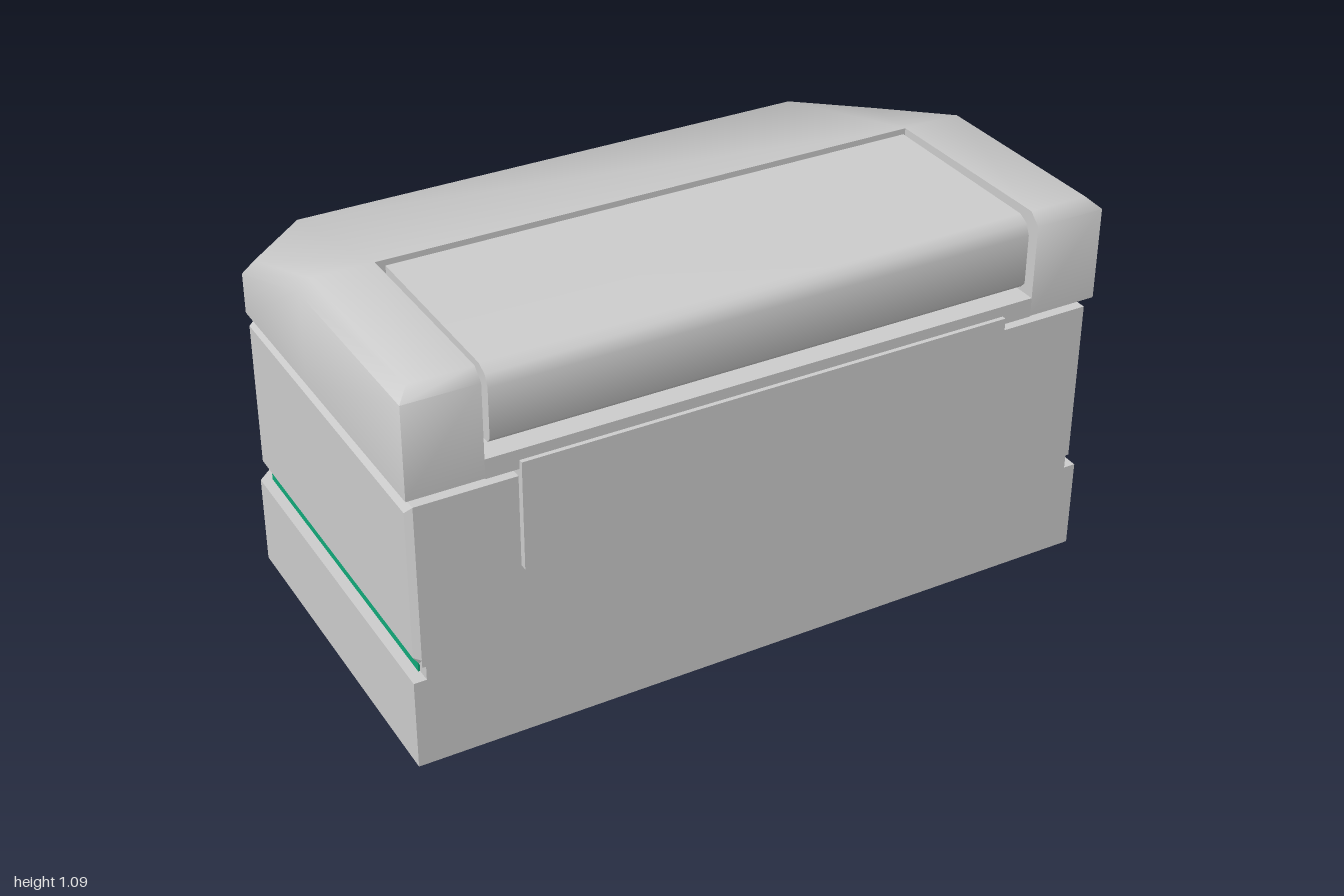
import * as THREE from 'three';
import { toCreasedNormals } from 'three/addons/utils/BufferGeometryUtils.js';

const grey = new THREE.MeshStandardMaterial({ color: 0xcccccc });
const green = new THREE.MeshStandardMaterial({ color: 0x11a878 });

// Mirror the right half of an outline (front to back) into a closed loop
const mirrored = (half) => [...half, ...half.map(([x, ...r]) => [-x, ...r]).reverse()];

// Footprint with cut back corners, inset by d; corner limits the front width
function outline(d, corner = 1, front = 0.6) {
  const w = 1 - d, back = -0.618 + d;
  return mirrored([
    [Math.min(w, corner), front], [w, front - 0.02], [w, -0.42 + 0.4 * d],
    [0.79 - 0.4 * d, back], [0.52, back], [0.38, back],
  ]);
}

// Turn an outline into a ring; the middle of the back edge may sit higher
const ring = (pts, y, yMid = y) =>
  pts.map(([x, z], i) => [x, i === 5 || i === 6 ? yMid : y, z]);

// Skin stacked rings, with end caps
function loft(rings, crease, topFaces) {
  const n = rings[0].length, last = (rings.length - 1) * n, index = [];
  for (let r = 0; r < rings.length - 1; r++) {
    for (let i = 0; i < n; i++) {
      const a = r * n + i, b = r * n + (i + 1) % n;
      index.push(a, b, b + n, a, b + n, a + n);
    }
  }
  const cap = (pts) => THREE.ShapeUtils.triangulateShape(
    pts.map(([x, , z]) => new THREE.Vector2(x, -z)), []);
  for (const [a, b, c] of cap(rings[0])) index.push(a, c, b);
  for (const [a, b, c] of topFaces || cap(rings[rings.length - 1])) {
    index.push(last + a, last + b, last + c);
  }
  const g = new THREE.BufferGeometry();
  g.setAttribute('position', new THREE.Float32BufferAttribute(rings.flat(2), 3));
  g.setIndex(index);
  return toCreasedNormals(g, crease);
}

export function createModel() {
  const model = new THREE.Group();
  const add = (name, geometry, material = grey) => {
    const m = new THREE.Mesh(geometry, material);
    m.name = name;
    model.add(m);
    return m;
  };
  const box = (name, w, h, d, x, y, z) =>
    add(name, new THREE.BoxGeometry(w, h, d)).position.set(x, y, z);

  // Base, stepped up along the middle of the back
  add('base', loft([
    ring(outline(0), 0),
    ring(outline(0), 0.26, 0.45),
    ring(outline(0.06), 0.26, 0.45),
  ], 0.3));

  // Coloured core showing in the groove
  add('grooveCore', loft([
    ring(outline(0.03, 1, 0.56), 0.2),
    ring(outline(0.03, 1, 0.56), 0.6),
  ], 0.3), green);

  // Front strip bridging the groove
  box('frontBridge', 1.93, 0.04, 0.1, 0, 0.28, 0.55);

  // Upper body with bevelled edges
  const inner = outline(0.025, 0.975), outer = outline(0.01, 0.975);
  add('body', loft([
    ring(outline(0.07, 0.975), 0.30, 0.49),
    ring(inner, 0.30, 0.49),
    ring(outer, 0.322, 0.512),
    ring(outer, 0.748),
    ring(inner, 0.77),
  ], 0.3));

  // Front latch plate
  box('latchPlate', 1.4, 0.31, 0.085, 0, 0.665, 0.578);

  // Lid: U-shaped plan, arms beside the recess, sloping down at the rear
  const lidRing = (outerHalf, innerFront, innerBack) => {
    const loop = mirrored(outerHalf);
    const [yf, zf] = innerFront;
    return [...loop, [-0.79, yf, zf], [-0.79, innerBack, 0],
      [0.79, innerBack, 0], [0.79, yf, zf]];
  };
  add('lid', loft([
    lidRing([[0.995, 0.797, 0.608], [0.995, 0.792, 0], [0.995, 0.788, -0.42],
      [0.79, 0.785, -0.608]], [0.797, 0.608], 0.792),
    lidRing([[0.995, 1.06, 0.608], [0.995, 1.055, 0], [0.995, 0.905, -0.42],
      [0.79, 0.89, -0.608]], [1.06, 0.608], 1.055),
    lidRing([[0.962, 1.09, 0.575], [0.962, 1.085, 0], [0.962, 0.94, -0.41],
      [0.775, 0.935, -0.578]], [1.09, 0.575], 1.085),
  ], 1.0, [
    [11, 0, 1], [11, 1, 10], [10, 1, 2], [10, 2, 3], [10, 3, 4], [10, 4, 9],
    [9, 4, 5], [9, 5, 6], [9, 6, 7], [9, 7, 8],
  ]));
  box('recessFloor', 1.58, 0.055, 0.608, 0, 0.8225, 0.304);

  // Rounded insert filling the recess
  const profile = new THREE.Shape([
    [-0.02, 0.88], [-0.02, 1.08], [-0.555, 1.08], [-0.585, 1.065],
    [-0.598, 1.035], [-0.598, 0.895], [-0.585, 0.88],
  ].map(([x, y]) => new THREE.Vector2(x, y)));
  const insert = new THREE.ExtrudeGeometry(profile, { depth: 1.54, bevelEnabled: false });
  insert.rotateY(Math.PI / 2).translate(-0.77, 0, 0);
  add('lidInsert', toCreasedNormals(insert, 1.0));

  return model;
}
